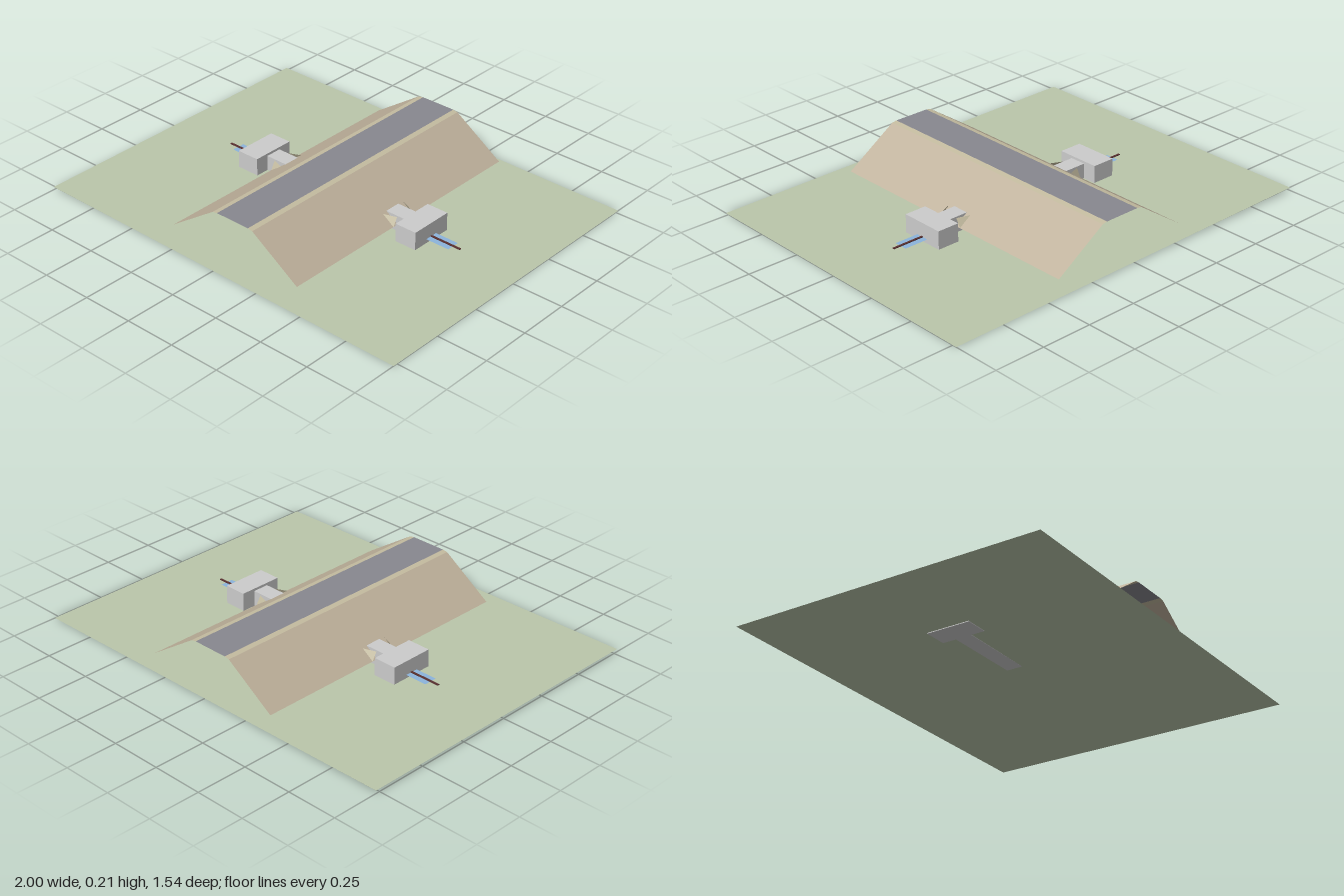
import * as THREE from 'three';

const mat = (color) => new THREE.MeshStandardMaterial({ color, side: THREE.DoubleSide, flatShading: true });
const MAT = {
  concrete: mat(0xcccccc),
  grass: mat(0xbac6aa),
  soil: mat(0xbfb29c),
  shoulder: mat(0xc4bca0),
  asphalt: mat(0x88888f),
  water: mat(0x8cb4dc),
  line: mat(0x5a3030),
};

const CZ = -0.025; // centre line of the culvert

export function createModel() {
  const model = new THREE.Group();
  const add = (name, geometry, material) => {
    const mesh = new THREE.Mesh(geometry, material);
    mesh.name = name;
    model.add(mesh);
    return mesh;
  };
  const box = (name, x0, x1, y0, y1, z0, z1, material) =>
    add(name, new THREE.BoxGeometry(x1 - x0, y1 - y0, z1 - z0), material)
      .position.set((x0 + x1) / 2, (y0 + y1) / 2, (z0 + z1) / 2);

  // Sheet that follows the line (x0,y0)-(x1,y1) and runs from z0 to z1, facing up when x0 < x1
  const sheet = (name, [x0, y0], [x1, y1], z0, z1, material) => {
    const g = new THREE.BufferGeometry();
    g.setAttribute('position', new THREE.Float32BufferAttribute(
      [x0, y0, z1, x1, y1, z1, x1, y1, z0, x0, y0, z0], 3));
    g.setIndex([0, 1, 2, 0, 2, 3]);
    g.computeVertexNormals();
    return add(name, g, material);
  };

  // Gently falling terrain
  sheet('ground', [-1, 0.014], [1, 0], -0.77, 0.77, MAT.grass);

  // Road embankment: open sheets from toe to toe
  const section = [[-0.34, 0.04], [-0.095, 0.206], [-0.07, 0.21], [0.11, 0.21], [0.135, 0.206], [0.385, 0.04]];
  const strips = [
    ['rightSlope', MAT.soil], ['rightShoulder', MAT.shoulder], ['road', MAT.asphalt],
    ['leftShoulder', MAT.shoulder], ['leftSlope', MAT.soil],
  ];
  strips.forEach(([name, material], i) =>
    sheet(name, section[i], section[i + 1], -0.705, 0.66, material));

  // Culvert barrel under the road
  box('culvertBarrel', -0.39, 0.43, 0.007, 0.083, CZ - 0.04, CZ + 0.04, MAT.concrete);

  // Parts at both ends of the culvert
  const ends = [
    { side: 'right', s: -1, inner: 0.39, outer: 0.505, water: 0.615, tip: 0.66, toe: 0.34, cut: 0.28 },
    { side: 'left', s: 1, inner: 0.43, outer: 0.54, water: 0.66, tip: 0.70, toe: 0.385, cut: 0.325 },
  ];
  for (const { side, s, inner, outer, water, tip, toe, cut } of ends) {
    const span = (a, b) => (s > 0 ? [a, b] : [-b, -a]);
    box(side + 'Basin', ...span(inner, outer), 0.007, 0.095, -0.133, 0.083, MAT.concrete);

    // Water surface and flow line
    const [w0, w1] = span(outer, water);
    sheet(side + 'Water', [w0, 0.027], [w1, 0.027], CZ - 0.033, CZ + 0.033, MAT.water);
    box(side + 'FlowLine', ...span(outer, tip), 0.027, 0.031, CZ - 0.005, CZ + 0.005, MAT.line);

    // Triangular wing walls leaning out from the barrel onto the slope
    for (const d of [-1, 1]) {
      const g = new THREE.BufferGeometry();
      g.setAttribute('position', new THREE.Float32BufferAttribute([
        s * toe, 0.04, CZ + d * 0.068,
        s * toe, 0.08, CZ + d * 0.045,
        s * cut, 0.082, CZ + d * 0.068,
      ], 3));
      g.setIndex(s * d > 0 ? [0, 1, 2] : [0, 2, 1]);
      g.computeVertexNormals();
      add(side + (d > 0 ? 'FrontWing' : 'BackWing'), g, MAT.shoulder);
    }
  }
  return model;
}
